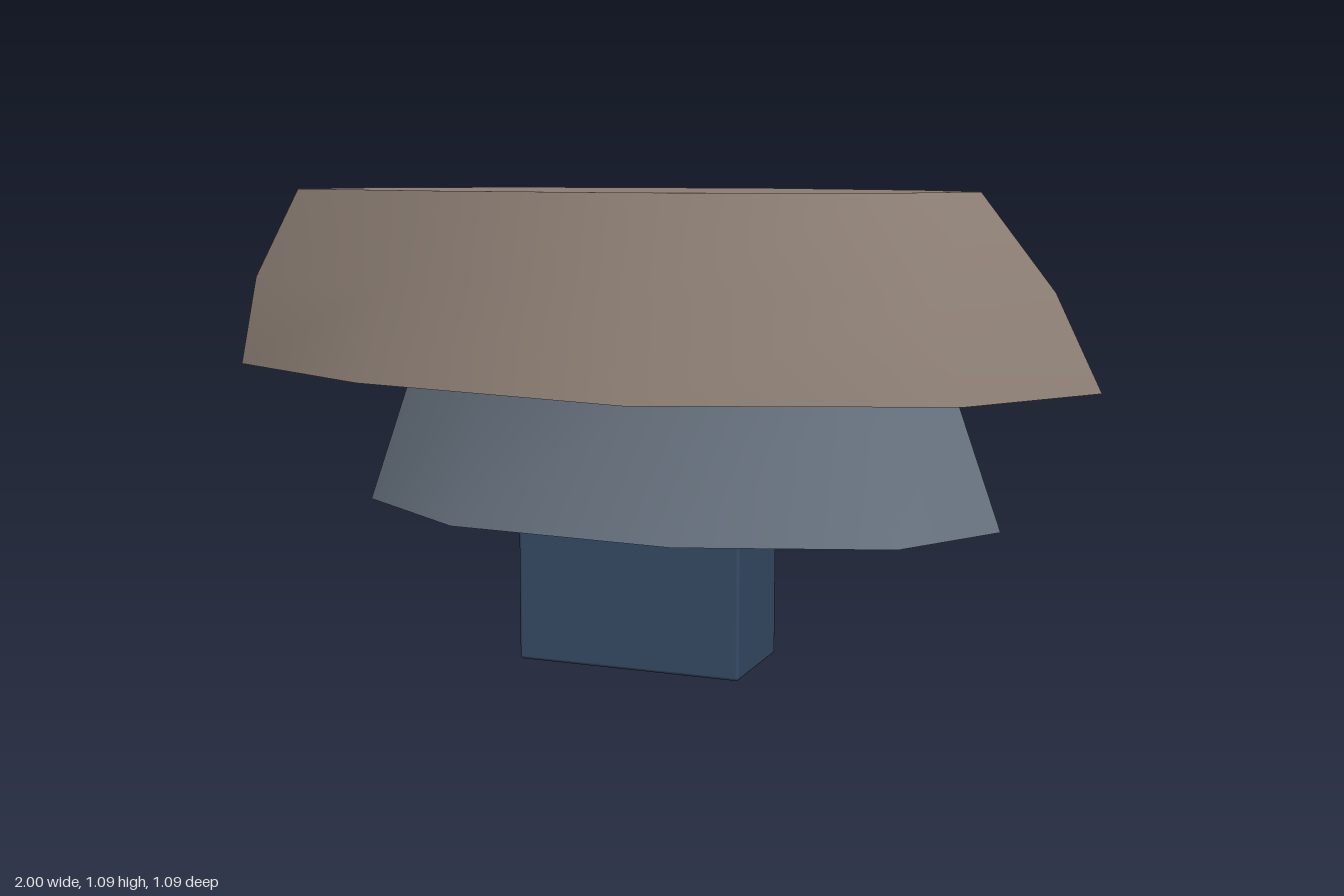
import * as THREE from 'three';
import { toCreasedNormals } from 'three/addons/utils/BufferGeometryUtils.js';
import { RoundedBoxGeometry } from 'three/addons/geometries/RoundedBoxGeometry.js';

// Closed solid from stacked rings: { y, pts: [[x, z], ...] }, bottom to top
function loft(rings, crease = 0.8) {
  const n = rings[0].pts.length;
  const pos = rings.flatMap(({ y, pts }) => pts.flatMap(([x, z]) => [x, y, z]));
  const index = [];
  for (let r = 0; r < rings.length - 1; r++) {
    for (let i = 0; i < n; i++) {
      const j = (i + 1) % n;
      const a = r * n + i, b = r * n + j, c = a + n, d = b + n;
      index.push(a, c, b, c, d, b);
    }
  }
  const top = (rings.length - 1) * n;
  for (let i = 1; i < n - 1; i++) {
    index.push(0, i, i + 1);
    index.push(top, top + i + 1, top + i);
  }
  const g = new THREE.BufferGeometry();
  g.setAttribute('position', new THREE.Float32BufferAttribute(pos, 3));
  g.setIndex(index);
  return toCreasedNormals(g, crease);
}

export function createModel() {
  const model = new THREE.Group();
  model.name = 'steppedRock';
  const material = (name, color) => {
    const m = new THREE.MeshStandardMaterial({ color });
    m.name = name;
    return m;
  };
  const add = (name, geometry, mat) => {
    const mesh = new THREE.Mesh(geometry, mat);
    mesh.name = name;
    model.add(mesh);
    return mesh;
  };

  const brownStone = material('brown stone', 0x8c7e74);
  const greyStone = material('blue grey stone', 0x6a7582);
  const bluePost = material('dark blue', 0x364c66);

  // Top slab: irregular nine-sided rings narrowing upward
  add('topSlab', loft([
    { y: 0.68, pts: [[1, 0], [0.78, 0.32], [0.16, 0.545], [-0.52, 0.4], [-0.975, 0.155],
      [-1, -0.175], [-0.595, -0.46], [0.165, -0.545], [0.59, -0.347]] },
    { y: 0.885, pts: [[0.9, 0], [0.71, 0.285], [0.145, 0.475], [-0.47, 0.35], [-0.935, 0.145],
      [-0.88, -0.155], [-0.55, -0.415], [0.16, -0.46], [0.75, -0.3]] },
    { y: 1.09, pts: [[0.74, 0], [0.61, 0.235], [0.12, 0.375], [-0.4, 0.285], [-0.83, 0.12],
      [-0.77, -0.125], [-0.48, -0.35], [0.12, -0.392], [0.56, -0.2]] },
  ]), brownStone);

  // Middle tier: one outline, scaled inward toward its own centre at the top
  const outline = [[0.79, -0.05], [0.63, 0.21], [0.19, 0.36], [-0.34, 0.32], [-0.67, 0.09],
    [-0.7, -0.2], [-0.33, -0.41], [0.2, -0.4], [0.65, -0.29]];
  const cx = 0.04, cz = -0.05, s = 0.85;
  const inner = outline.map(([x, z]) => [cx + (x - cx) * s, cz + (z - cz) * s]);
  add('middleTier', loft([{ y: 0.365, pts: outline }, { y: 0.68, pts: inner }]), greyStone);

  // Foot block
  add('footBlock', new RoundedBoxGeometry(0.54, 0.365, 0.27, 2, 0.008), bluePost)
    .position.set(-0.04, 0.1825, -0.093);

  return model;
}
